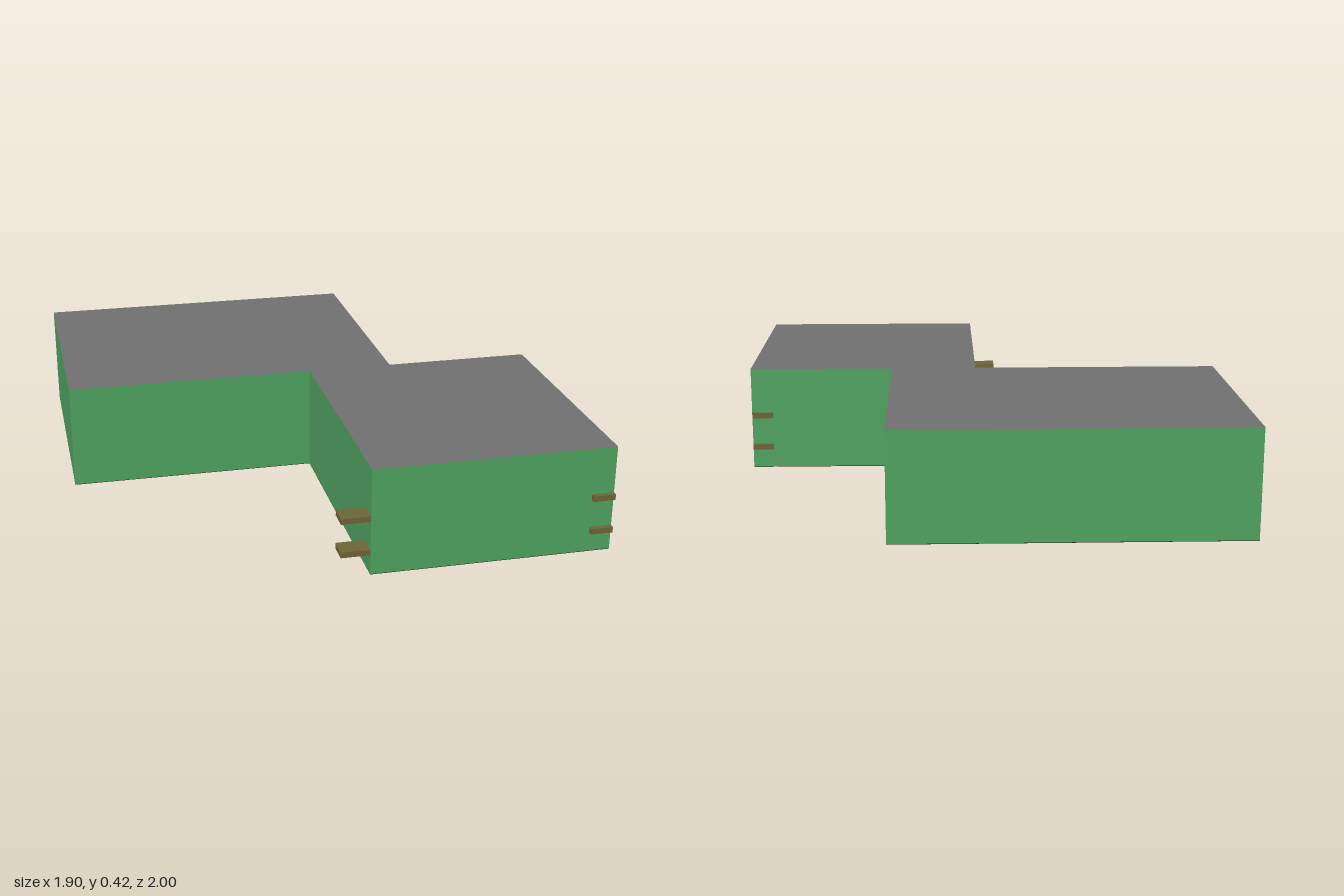
import * as THREE from 'three';

const paint = (color, side = THREE.FrontSide) =>
  new THREE.MeshStandardMaterial({ color, side });

export function createModel() {
  const model = new THREE.Group();
  model.name = 'building';

  const green = paint(0x50a461);
  const grey = paint(0x707070);
  const black = paint(0x2a2a2a);
  const olive = paint(0x6e6638);
  const brown = paint(0x2e221e, THREE.DoubleSide);

  // Box given by its minimum and maximum corners
  function block(name, material, [x0, y0, z0], [x1, y1, z1]) {
    const mesh = new THREE.Mesh(new THREE.BoxGeometry(x1 - x0, y1 - y0, z1 - z0), material);
    mesh.position.set((x0 + x1) / 2, (y0 + y1) / 2, (z0 + z1) / 2);
    mesh.name = name;
    model.add(mesh);
  }

  // Stepped floor plan: wide back wing overlapping a narrower front wing
  const plan = new THREE.Shape([
    [-0.95, 0.01], [0.03, 0.01], [0.03, -0.98], [0.95, -0.98],
    [0.95, 0.01], [0.37, 0.01], [0.37, 1], [-0.95, 1],
  ].map(([x, y]) => new THREE.Vector2(x, y)));

  // Grey roof cap and green walls
  const shell = new THREE.Mesh(
    new THREE.ExtrudeGeometry(plan, { depth: 0.414, bevelEnabled: false }).rotateX(-Math.PI / 2),
    [grey, green],
  );
  shell.position.y = 0.004;
  shell.name = 'wallsAndRoof';
  model.add(shell);

  // Dark underside
  const floor = new THREE.Mesh(new THREE.ShapeGeometry(plan).rotateX(-Math.PI / 2), brown);
  floor.position.y = 0.002;
  floor.name = 'floor';
  model.add(floor);

  // Three windows on the side of the back wing
  for (let i = 0; i < 3; i++) {
    const z = -0.195 - i * 0.247;
    block('window', black, [0.36, 0.105, z - 0.083], [0.375, 0.34, z + 0.083]);
  }

  // Ledges on two levels, around the corners of the front wing
  for (const y of [0.08, 0.213]) {
    block('sideLedge', olive, [-0.08, y, 0.9], [0.04, y + 0.022, 0.979]);
    block('frontLedge', olive, [0.865, y, 0.97], [0.949, y + 0.022, 1]);
    block('backLedge', olive, [0.865, y, -0.02], [0.949, y + 0.022, 0]);
  }

  // Small grey plates under the back wing
  for (const z of [-0.25, -0.5, -0.75]) {
    block('footPlate', grey, [-0.85, 0, z - 0.035], [-0.78, 0.003, z + 0.035]);
  }
  for (const x of [-0.38, -0.18, 0.06]) {
    block('smallFootPlate', grey, [x - 0.02, 0, -0.91], [x + 0.02, 0.003, -0.88]);
  }

  return model;
}
